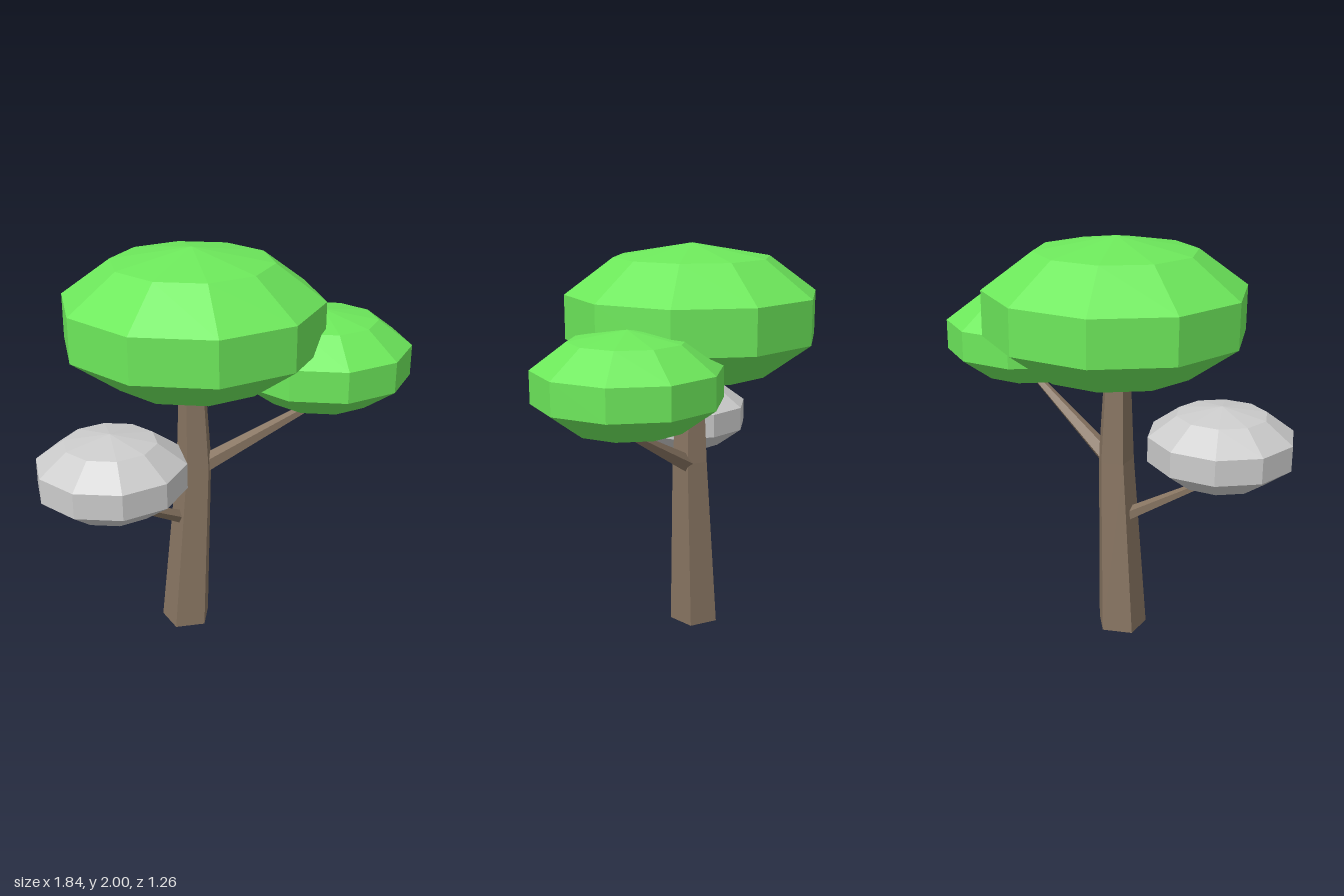
import * as THREE from 'three';

const mat = (color) => new THREE.MeshStandardMaterial({ color, flatShading: true });
const bark = mat(0x877461);
const leaf = mat(0x6de85b);
const grey = mat(0xcccccc);

// Flattened ten-sided ball with a corner facing front
function crown(name, material, [x, y, z], radius, halfHeight, turn = 0) {
  const mesh = new THREE.Mesh(new THREE.SphereGeometry(1, 10, 5), material);
  mesh.name = name;
  mesh.scale.set(radius, halfHeight, radius);
  mesh.rotation.y = Math.PI / 2 + turn;
  mesh.position.set(x, y, z);
  return mesh;
}

// Tapered five-sided limb between two points
function branch(name, start, end, r0, r1) {
  const a = new THREE.Vector3(...start);
  const b = new THREE.Vector3(...end);
  const dir = b.clone().sub(a);
  const geo = new THREE.CylinderGeometry(r1, r0, dir.length(), 5);
  geo.rotateY(Math.PI);
  const mesh = new THREE.Mesh(geo, bark);
  mesh.name = name;
  mesh.position.copy(a).add(b).multiplyScalar(0.5);
  mesh.quaternion.setFromUnitVectors(new THREE.Vector3(0, 1, 0), dir.normalize());
  return mesh;
}

// Five-sided trunk, flat face forward, bent at one ring part way up
function trunk() {
  const rings = [
    { y: 1.4, x: -0.145, r: 0.065 },
    { y: 0.9, x: -0.138, r: 0.093 },
    { y: 0, x: -0.192, r: 0.129 },
  ];
  const geo = new THREE.CylinderGeometry(1, 1, 2, 5, 2);
  geo.rotateY(Math.PI);
  const p = geo.attributes.position;
  for (let i = 0; i < p.count; i++) {
    const ring = rings[Math.round(1 - p.getY(i))];
    p.setXYZ(i, ring.x + p.getX(i) * ring.r, ring.y, p.getZ(i) * ring.r);
  }
  geo.computeVertexNormals();
  const mesh = new THREE.Mesh(geo, bark);
  mesh.name = 'trunk';
  return mesh;
}

export function createModel() {
  const tree = new THREE.Group();
  tree.name = 'tree';
  tree.add(
    trunk(),
    branch('leftBranch', [-0.14, 0.867, 0], [0.53, 1.205, 0], 0.05, 0.018),
    branch('rightBranch', [-0.17, 0.587, -0.01], [-0.58, 0.86, 0.265], 0.038, 0.015),
    crown('topCrown', leaf, [-0.14, 1.65, -0.005], 0.66, 0.35),
    crown('leftCrown', leaf, [0.5, 1.42, -0.005], 0.46, 0.245),
    crown('rightCrown', grey, [-0.58, 1.022, 0.275], 0.373, 0.2, 0.03),
  );
  return tree;
}
